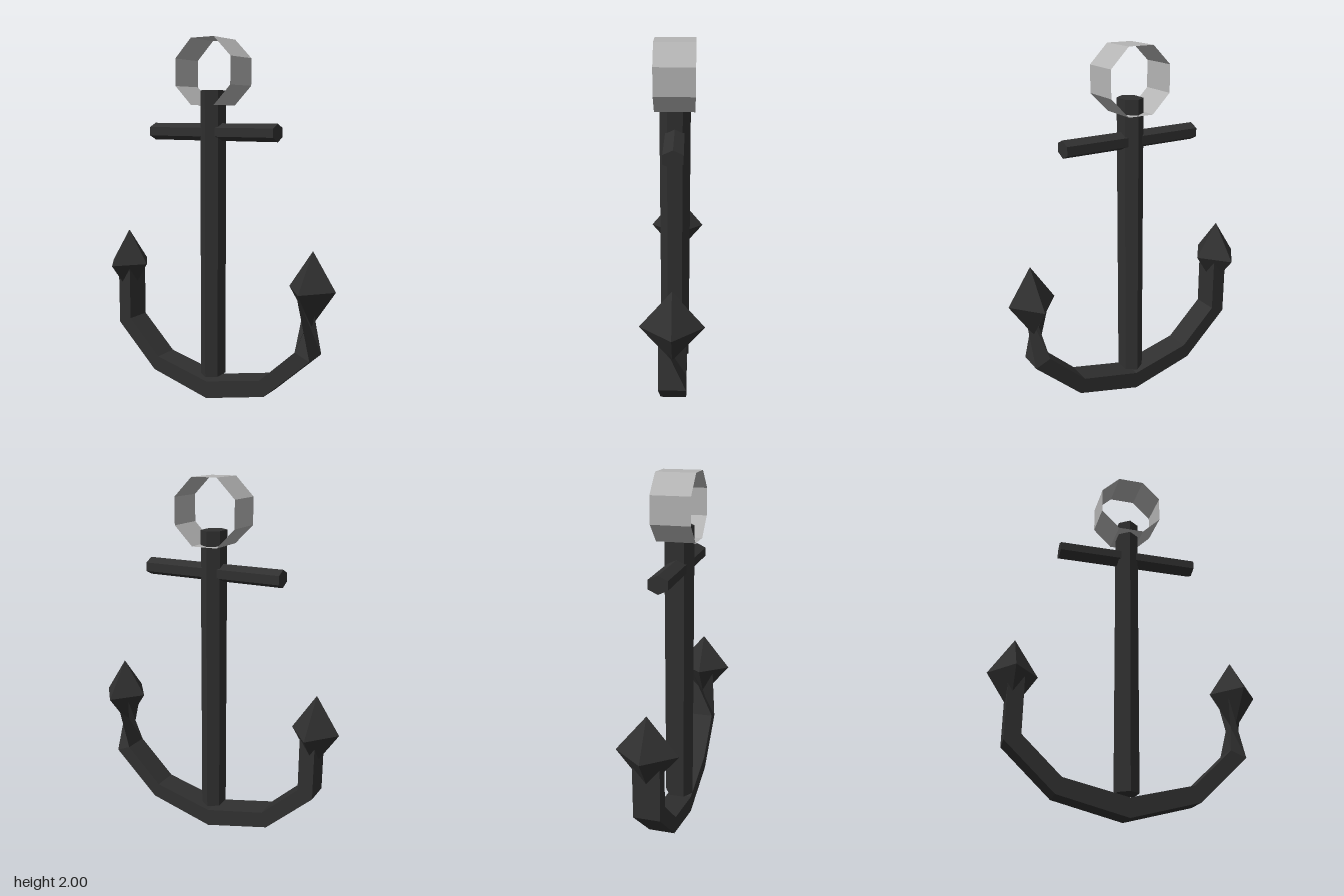
import * as THREE from 'three';

const iron = new THREE.MeshStandardMaterial({ color: 0x303030, flatShading: true, side: THREE.DoubleSide });
iron.name = 'dark iron';
const steel = new THREE.MeshStandardMaterial({ color: 0xb4b4b4, flatShading: true, side: THREE.DoubleSide });
steel.name = 'light steel';

// Curved arms: a rectangular section swept through stations of [outerX, outerY, innerX, innerY]
function armsGeometry() {
  const half = [[0.64, 0.7, 0.555, 0.7], [0.64, 0.345, 0.555, 0.38], [0.375, 0.095, 0.345, 0.18]];
  const stations = [
    ...half.map(([a, b, c, d]) => [-a, b, -c, d]),
    [0, 0, 0, 0.1],
    ...half.slice().reverse(),
  ];
  const depth = 0.072;
  const rings = stations.map(([ox, oy, ix, iy]) => [
    [ox, oy, -depth], [ox, oy, depth], [ix, iy, depth], [ix, iy, -depth],
  ]);
  const positions = [];
  for (let s = 0; s < rings.length - 1; s++) {
    // the last length, on the left arm, makes a half twist
    const twist = s === rings.length - 2 ? 2 : 0;
    for (let i = 0; i < 4; i++) {
      const j = (i + 1) % 4;
      const a = rings[s][i], b = rings[s][j];
      const c = rings[s + 1][(i + twist) % 4], d = rings[s + 1][(j + twist) % 4];
      positions.push(...b, ...a, ...c, ...b, ...c, ...d);
    }
  }
  const geometry = new THREE.BufferGeometry();
  geometry.setAttribute('position', new THREE.Float32BufferAttribute(positions, 3));
  geometry.computeVertexNormals();
  return geometry;
}

export function createModel() {
  const model = new THREE.Group();
  model.name = 'anchor';

  function add(name, geometry, material, x, y) {
    const mesh = new THREE.Mesh(geometry, material);
    mesh.name = name;
    mesh.position.set(x, y, 0);
    model.add(mesh);
  }

  // Six-sided shaft, narrower across than deep
  add('shaft', new THREE.CylinderGeometry(1, 1, 1.6, 6).scale(0.066, 1, 0.082), iron, 0, 0.93);

  // Six-sided crossbar with an edge on top
  const bar = new THREE.CylinderGeometry(1, 1, 0.8, 6, 1, false, Math.PI / 2)
    .scale(0.0475, 1, 0.059).rotateZ(Math.PI / 2);
  add('crossbar', bar, iron, 0, 1.507);

  // Thin octagonal ring through the top of the shaft
  const ring = new THREE.CylinderGeometry(0.19, 0.19, 0.212, 8, 1, true, Math.PI / 8).rotateX(Math.PI / 2);
  add('ring', ring, steel, 0, 1.8265);

  add('arms', armsGeometry(), iron, 0, 0);

  // Pointed flukes on the arm ends
  for (const side of [-1, 1]) {
    const fluke = new THREE.OctahedronGeometry(1).scale(0.132, 0.2, 0.164);
    add(side > 0 ? 'leftFluke' : 'rightFluke', fluke, iron, side * 0.613, 0.711);
  }
  return model;
}
